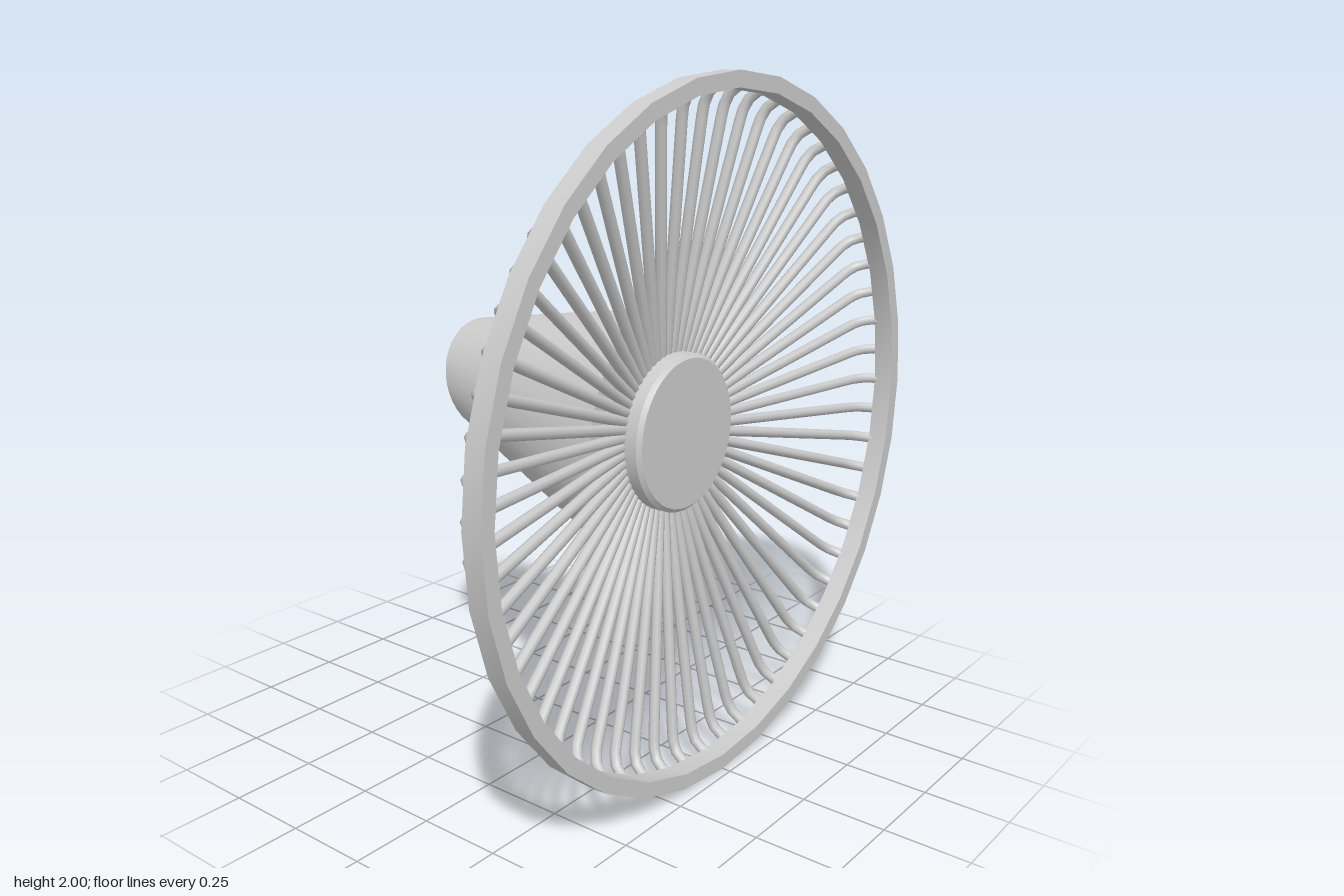
import * as THREE from 'three';
import { toCreasedNormals } from 'three/addons/utils/BufferGeometryUtils.js';

const SPOKES = 60;
const material = new THREE.MeshStandardMaterial({ color: 0xcccccc });

function mesh(name, geometry) {
  const m = new THREE.Mesh(geometry, material);
  m.name = name;
  return m;
}

// Turned part around the x axis; profile points are [radius, x]
function turned(name, profile, segments) {
  const pts = profile.map(([r, x]) => new THREE.Vector2(r, x));
  const g = new THREE.LatheGeometry(pts, segments).rotateZ(-Math.PI / 2);
  return mesh(name, toCreasedNormals(g, 0.5));
}

// Tapered oval motor housing: narrow end is cut at a slant, wide end is upright
function motorHousing() {
  const g = new THREE.CylinderGeometry(1, 1, 1, 40, 1).rotateZ(-Math.PI / 2);
  const p = g.attributes.position;
  for (let i = 0; i < p.count; i++) {
    const y = p.getY(i), z = p.getZ(i);
    if (p.getX(i) > 0) p.setXYZ(i, 0.225, 0.96 + 0.39 * y, 0.32 * z);
    else p.setXYZ(i, -0.44 - 0.04 * y, 1.065 + 0.175 * y, 0.19 * z);
  }
  return mesh('motorHousing', toCreasedNormals(g, 0.5));
}

// Wire spokes sweep outward from the hub and bend forward into the rim
function spokes() {
  const group = new THREE.Group();
  group.name = 'spokes';
  const P = (x, r) => new THREE.Vector3(x, r, 0);
  const path = new THREE.CurvePath();
  path.add(new THREE.LineCurve3(P(0.262, 0.2), P(0.357, 0.89)));
  path.add(new THREE.CubicBezierCurve3(P(0.357, 0.89), P(0.364, 0.94), P(0.385, 0.965), P(0.435, 0.972)));
  const g = new THREE.TubeGeometry(path, 24, 0.016, 8, false);
  for (let i = 0; i < SPOKES; i++) {
    const spoke = mesh('spoke', g);
    spoke.rotation.x = (i / SPOKES) * Math.PI * 2;
    spoke.position.y = 1;
    group.add(spoke);
  }
  return group;
}

export function createModel() {
  const model = new THREE.Group();
  model.name = 'fanGuardWithMotor';

  // Outer ring with a rectangular section
  const rim = turned('rim', [[0.955, 0.415], [1, 0.415], [1, 0.475], [0.955, 0.475], [0.955, 0.415]], 32);

  // Mounting disc behind the spokes and the cap in front of them
  const disc = turned('mountingDisc', [[0, 0.215], [0.262, 0.215], [0.262, 0.25], [0, 0.25]], 40);
  const cap = turned('hubCap', [[0, 0.24], [0.23, 0.24], [0.23, 0.318], [0.218, 0.33], [0, 0.33]], 40);

  for (const part of [rim, disc, cap]) {
    part.position.y = 1;
    model.add(part);
  }
  model.add(spokes(), motorHousing());
  return model;
}
